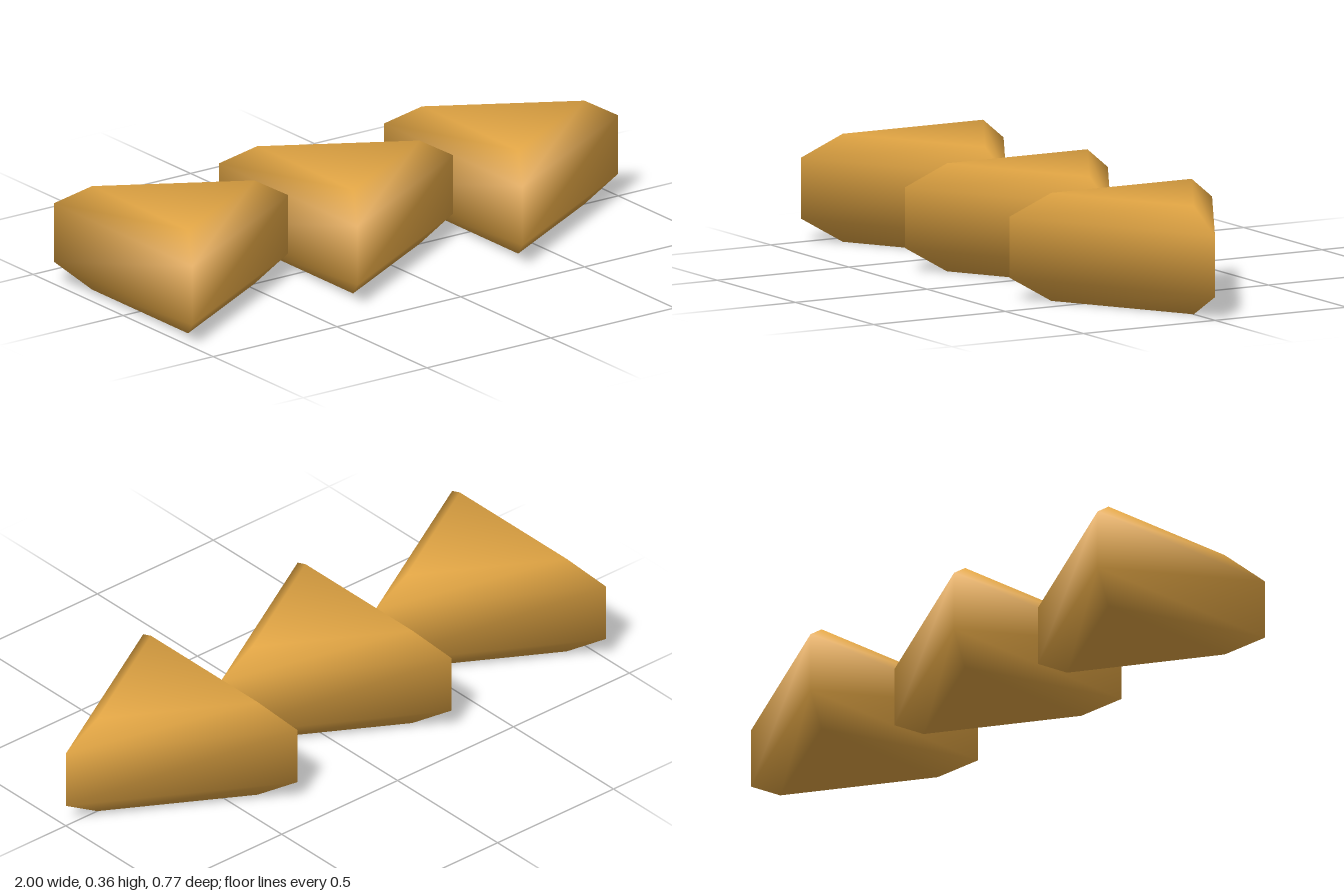
import * as THREE from 'three';

// Three-sided wedge with bevelled top and bottom, pointing along +x, softly shaded.
// Each ring: radius, height, and the outward and upward parts of its normals.
const RINGS = [
  { r: 0.308, y: 0, out: 0.4, up: -0.917 },
  { r: 0.4444, y: 0.077, out: 0.914, up: -0.405 },
  { r: 0.4444, y: 0.279, out: 0.914, up: 0.405 },
  { r: 0.308, y: 0.358, out: 0.4, up: 0.917 },
];

function wedgeGeometry() {
  const positions = [], normals = [], index = [];
  for (const { r, y, out, up } of RINGS) {
    for (let i = 0; i < 3; i++) {
      const a = Math.PI / 2 + (i * 2 * Math.PI) / 3;
      positions.push(r * Math.sin(a), y, r * Math.cos(a));
      normals.push(out * Math.sin(a), up, out * Math.cos(a));
    }
  }
  // Walls between neighbouring rings
  for (let k = 0; k < RINGS.length - 1; k++) {
    for (let i = 0; i < 3; i++) {
      const a = k * 3 + i, b = k * 3 + ((i + 1) % 3);
      index.push(a, b, b + 3, a, b + 3, a + 3);
    }
  }
  // Bottom and top caps
  index.push(0, 2, 1, 9, 10, 11);

  const geometry = new THREE.BufferGeometry();
  geometry.setAttribute('position', new THREE.Float32BufferAttribute(positions, 3));
  geometry.setAttribute('normal', new THREE.Float32BufferAttribute(normals, 3));
  geometry.setIndex(index);
  return geometry;
}

export function createModel() {
  const model = new THREE.Group();
  model.name = 'arrowChain';
  const gold = new THREE.MeshStandardMaterial({ color: 0xe0a443 });
  gold.name = 'gold';

  // Three wedges in a row, each tip touching the next back face
  const geometry = wedgeGeometry();
  ['rearArrow', 'middleArrow', 'leadArrow'].forEach((name, i) => {
    const arrow = new THREE.Mesh(geometry, gold);
    arrow.name = name;
    arrow.position.x = -7 / 9 + (i * 2) / 3;
    model.add(arrow);
  });
  return model;
}
